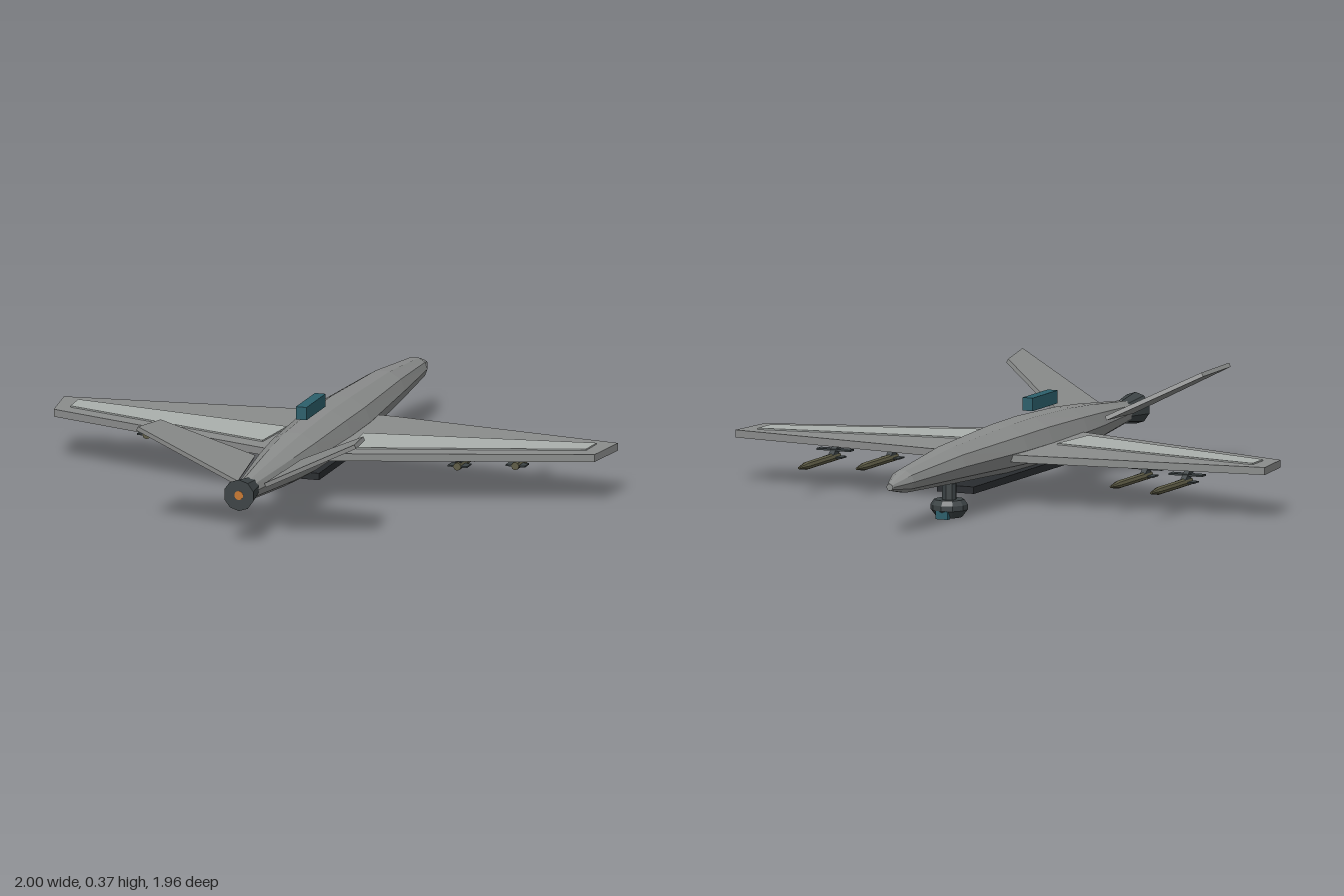
import * as THREE from 'three';

const paint = (color) => new THREE.MeshStandardMaterial({ color, flatShading: true });

// Flat plate from (x, z) corners; top face at y = 0, thickness going down
function plateGeometry(points, thickness) {
  const shape = new THREE.Shape(points.map(([x, z]) => new THREE.Vector2(x, z)));
  const g = new THREE.ExtrudeGeometry(shape, { depth: thickness, bevelEnabled: false });
  return g.rotateX(Math.PI / 2);
}

// Skin over elliptical stations [z, halfWidth, halfHeight, centreY]
function loftGeometry(stations, sides) {
  const pos = [];
  const point = ([z, w, h, y], j) => {
    const a = (j / sides) * Math.PI * 2;
    return [w * Math.cos(a), y + h * Math.sin(a), z];
  };
  for (let i = 0; i < stations.length - 1; i++) {
    for (let j = 0; j < sides; j++) {
      const a = point(stations[i], j), b = point(stations[i], j + 1);
      const c = point(stations[i + 1], j + 1), d = point(stations[i + 1], j);
      pos.push(...a, ...b, ...c, ...a, ...c, ...d);
    }
  }
  const g = new THREE.BufferGeometry();
  g.setAttribute('position', new THREE.Float32BufferAttribute(pos, 3));
  g.computeVertexNormals();
  return g;
}

export function createModel() {
  const model = new THREE.Group();
  const body = paint(0x8a8c8b), panel = paint(0xabb0ad), dark = paint(0x3c4345);
  const belly = paint(0x292c2f), teal = paint(0x2c5f6b), olive = paint(0x5e5c46), orange = paint(0xc87832);

  const add = (parent, name, geometry, material, x = 0, y = 0, z = 0) => {
    const mesh = new THREE.Mesh(geometry, material);
    mesh.name = name;
    mesh.position.set(x, y, z);
    parent.add(mesh);
    return mesh;
  };

  // Ten-sided fuselage, nose at -z
  add(model, 'fuselage', loftGeometry([
    [-0.98, 0, 0, 0.17],
    [-0.98, 0.012, 0.012, 0.17],
    [-0.88, 0.045, 0.04, 0.177],
    [-0.54, 0.08, 0.066, 0.186],
    [-0.1, 0.107, 0.085, 0.184],
    [0.1, 0.107, 0.088, 0.183],
    [0.4, 0.096, 0.082, 0.179],
    [0.57, 0.08, 0.07, 0.178],
    [0.9, 0.036, 0.038, 0.176],
    [0.9, 0, 0, 0.176],
  ], 10), body);

  // Exhaust nozzle and glowing core
  add(model, 'exhaustNozzle',
    new THREE.CylinderGeometry(0.055, 0.035, 0.13, 10).rotateX(Math.PI / 2), dark, 0, 0.176, 0.915);
  add(model, 'exhaustCore',
    new THREE.CylinderGeometry(0.016, 0.016, 0.006, 10).rotateX(Math.PI / 2), orange, 0, 0.176, 0.979);

  // Antenna block above the back, equipment tray under the belly
  add(model, 'antenna', new THREE.BoxGeometry(0.038, 0.045, 0.2), teal, 0, 0.306, 0.22);
  add(model, 'bellyTray', new THREE.BoxGeometry(0.138, 0.024, 0.79), belly, 0, 0.092, -0.06);

  // Sensor turret under the nose
  const turret = new THREE.Group();
  turret.name = 'sensorTurret';
  turret.position.z = -0.505;
  model.add(turret);
  add(turret, 'turretPost', new THREE.CylinderGeometry(0.026, 0.026, 0.06, 8), dark, 0, 0.09, 0);
  const profile = [[0, 0.004], [0.044, 0.004], [0.064, 0.03], [0.064, 0.048], [0.052, 0.065], [0, 0.065]];
  add(turret, 'turretBall',
    new THREE.LatheGeometry(profile.map(([r, y]) => new THREE.Vector2(r, y)), 10), dark);
  add(turret, 'turretLens', new THREE.BoxGeometry(0.045, 0.028, 0.02), teal, 0, 0.016, -0.05);

  for (const side of [1, -1]) {
    const label = side > 0 ? 'left' : 'right';
    const mirror = (points) => points.map(([x, z]) => [x * side, z]);

    // Wing with a raised lighter panel
    const wing = [[0, -0.205], [0.15, -0.205], [1, -0.1], [0.975, 0.08], [0.11, 0.36], [0, 0.36]];
    add(model, label + 'Wing', plateGeometry(mirror(wing), 0.026), body, 0, 0.183, 0);
    const inset = [[0.138, 0.065], [0.935, -0.06], [0.93, 0.035], [0.155, 0.275]];
    add(model, label + 'WingPanel', plateGeometry(mirror(inset), 0.008), panel, 0, 0.188, 0);

    // Canted tail fin
    const fin = [[0.06, 0.56], [0.377, 0.735], [0.405, 0.903], [0.02, 0.85]];
    const tail = add(model, label + 'TailFin', plateGeometry(mirror(fin), 0.015), body, side * 0.03, 0.182, 0);
    tail.rotation.z = side * 0.476;

    // Two stores under each wing; z is the nose tip
    for (const [x, z] of [[0.48, -0.23], [0.665, -0.3]]) {
      const store = new THREE.Group();
      store.name = label + 'Store';
      store.position.set(side * x, 0.1, z);
      model.add(store);
      add(store, 'storeBody',
        new THREE.CylinderGeometry(0.014, 0.014, 0.25, 8).rotateX(Math.PI / 2), olive, 0, 0, 0.185);
      add(store, 'storeNose',
        new THREE.CylinderGeometry(0.004, 0.014, 0.06, 8).rotateX(-Math.PI / 2), olive, 0, 0, 0.03);
      add(store, 'storeFins', new THREE.BoxGeometry(0.07, 0.005, 0.045), dark, 0, 0, 0.285);
      add(store, 'storeRack', new THREE.BoxGeometry(0.126, 0.006, 0.035), dark, 0, 0.025, 0.29);

      // Swept pylon: box sheared so its top sits further aft
      const pylon = new THREE.BoxGeometry(0.02, 0.055, 0.04);
      const p = pylon.attributes.position;
      for (let i = 0; i < p.count; i++) p.setZ(i, p.getZ(i) + p.getY(i) * 1.2);
      add(store, 'pylon', pylon, dark, 0, 0.036, 0.305);
    }
  }
  return model;
}
